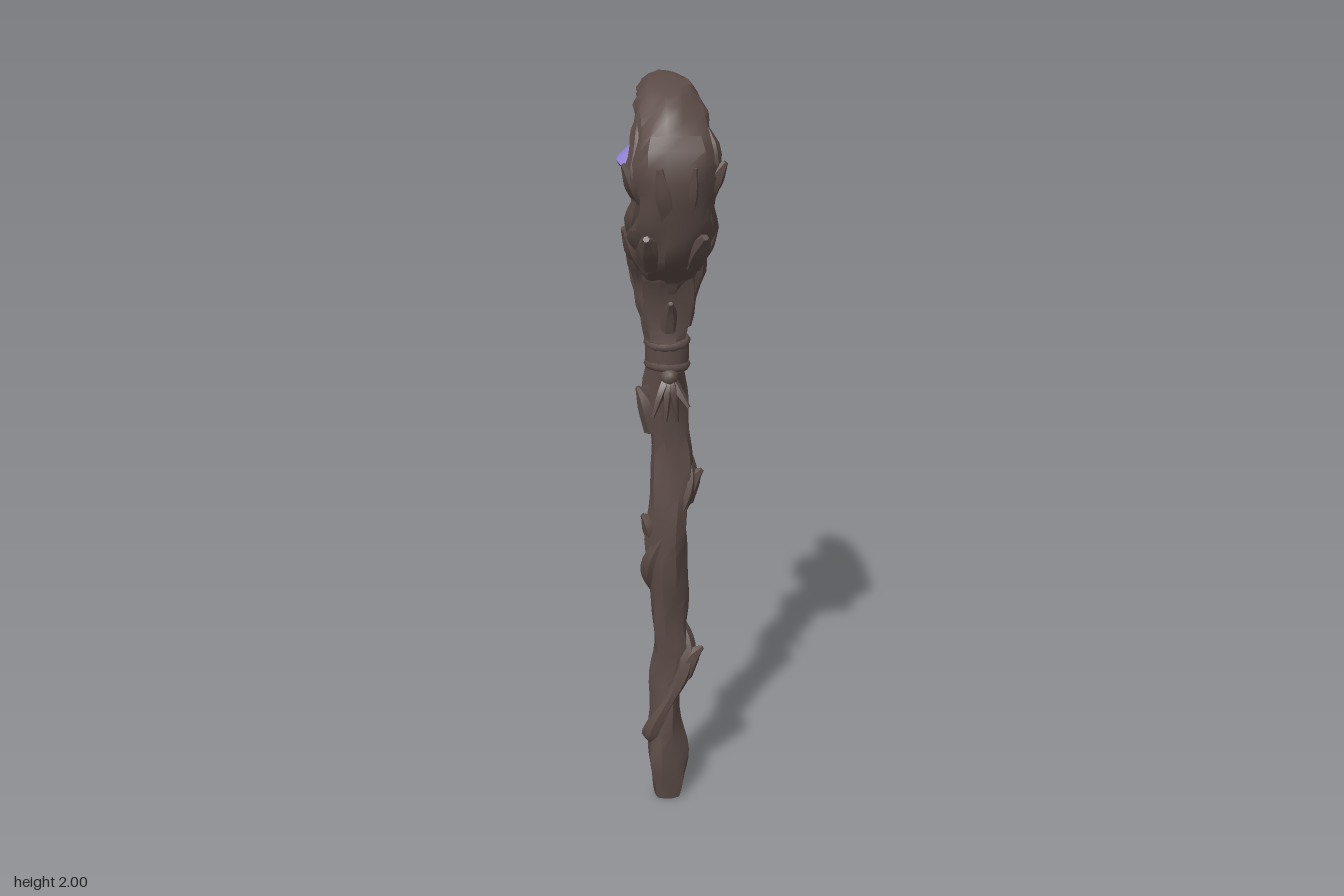
import * as THREE from 'three';
import { toCreasedNormals } from 'three/addons/utils/BufferGeometryUtils.js';

const mat = (name, color, side = THREE.FrontSide) => {
  const m = new THREE.MeshStandardMaterial({ color, side });
  m.name = name;
  return m;
};

// Skin of elliptical rings along a path; each station is [x, y, z, radiusX, radiusDepth].
function loft(stations, sides, steps, shape = () => 1) {
  const path = new THREE.CatmullRomCurve3(stations.map(s => new THREE.Vector3(s[0], s[1], s[2])), false, 'catmullrom', 0.5);
  const size = new THREE.CatmullRomCurve3(stations.map(s => new THREE.Vector3(s[3], s[4] ?? s[3], 0)), false, 'catmullrom', 0.5);
  const pos = [], idx = [];
  for (let i = 0; i <= steps; i++) {
    const t = i / steps, c = path.getPoint(t), r = size.getPoint(t), T = path.getTangent(t);
    const u = new THREE.Vector3(1, 0, 0).addScaledVector(T, -T.x).normalize();
    const v = u.clone().cross(T);
    for (let j = 0; j < sides; j++) {
      const a = j / sides * Math.PI * 2, k = shape(a, t, c);
      const p = c.clone().addScaledVector(u, Math.cos(a) * r.x * k).addScaledVector(v, Math.sin(a) * r.y * k);
      pos.push(p.x, Math.max(0, p.y), p.z);
      if (i < steps) {
        const n = (j + 1) % sides, A = i * sides + j, B = i * sides + n;
        idx.push(A, A + sides, B, B, A + sides, B + sides);
      }
    }
  }
  // end caps
  const a = path.getPoint(0), b = path.getPoint(1), ia = pos.length / 3, last = steps * sides;
  pos.push(a.x, a.y, a.z, b.x, b.y, b.z);
  for (let j = 0; j < sides; j++) {
    const n = (j + 1) % sides;
    idx.push(ia, j, n, ia + 1, last + n, last + j);
  }
  const g = new THREE.BufferGeometry();
  g.setAttribute('position', new THREE.Float32BufferAttribute(pos, 3));
  g.setIndex(idx);
  return toCreasedNormals(g, 0.65);
}

// Give each face a material index chosen from its centre and normal.
function paint(geo, pick) {
  const Q = geo.attributes.position, tri = new THREE.Triangle();
  const c = new THREE.Vector3(), n = new THREE.Vector3();
  for (let i = 0; i < Q.count; i += 3) {
    tri.setFromAttributeAndIndices(Q, i, i + 1, i + 2);
    geo.addGroup(i, 3, pick(tri.getMidpoint(c), tri.getNormal(n)));
  }
  return geo;
}

export function createModel() {
  const model = new THREE.Group();
  model.name = 'mushroomStaff';
  const bark = mat('bark brown', 0x5b4b46);
  const purple = mat('cap purple', 0x9585d8);
  const blue = mat('cap blue', 0x4b8fc2);
  const gill = mat('gill dark teal', 0x1f5f68, THREE.DoubleSide);
  const teal = mat('stem teal', 0x2f8790);
  const mossy = mat('hollow muted teal', 0x31595d);
  const add = (name, geo, m, parent = model) => {
    const mesh = new THREE.Mesh(geo, m);
    mesh.name = name;
    parent.add(mesh);
    return mesh;
  };

  // Gnarled shaft
  const gnarl = (a, t, c) => 1 + 0.1 * Math.sin(3 * a + c.y * 13) + 0.07 * Math.sin(2 * a - c.y * 31 + 1);
  add('shaft', loft([
    [0, 0, 0.005, 0.033, 0.036], [0, 0.05, 0.005, 0.046, 0.04], [0, 0.12, 0.005, 0.057, 0.042],
    [-0.005, 0.23, 0, 0.046, 0.04], [0, 0.35, -0.008, 0.044, 0.039], [0.01, 0.46, -0.006, 0.046, 0.039],
    [0.005, 0.56, -0.005, 0.046, 0.04], [0.002, 0.7, 0.004, 0.055, 0.042], [0, 0.84, 0.012, 0.052, 0.042],
    [0.012, 0.97, -0.002, 0.053, 0.046], [0.005, 1.1, -0.016, 0.052, 0.045], [-0.005, 1.2, -0.012, 0.056, 0.043],
    [0, 1.3, 0.002, 0.05, 0.046], [0, 1.38, 0, 0.056, 0.046], [0, 1.46, 0, 0.068, 0.055], [0, 1.53, 0.005, 0.075, 0.068],
    [0, 1.59, 0.03, 0.07, 0.06]], 10, 52, gnarl), bark);

  // Curled crook, flatter on the inside of the bend, with a teal-tinted hollow
  const crook = loft([
    [0, 1.48, 0, 0.06, 0.05], [0, 1.54, 0.02, 0.076, 0.06], [0, 1.6, 0.07, 0.088, 0.075], [0, 1.66, 0.11, 0.098, 0.07],
    [0, 1.73, 0.14, 0.088, 0.06], [0, 1.81, 0.15, 0.104, 0.057], [0, 1.88, 0.125, 0.084, 0.052],
    [0, 1.93, 0.07, 0.08, 0.048], [0, 1.955, 0, 0.072, 0.041], [0, 1.963, -0.07, 0.056, 0.034],
    [0, 1.95, -0.13, 0.048, 0.028], [0, 1.905, -0.18, 0.032, 0.022], [0, 1.86, -0.197, 0.022, 0.016],
    [0, 1.838, -0.185, 0.014, 0.011]], 14, 36,
    (a, t) => (Math.sin(a) < -0.3 ? 0.75 : 1) * (1 + 0.09 * Math.cos(4 * a) * Math.sin(t * 40) + 0.05 * Math.sin(5 * a + t * 25)));
  add('crook', paint(crook, (c, n) => n.z < -0.25 && c.y > 1.63 && c.y < 1.78 && c.z > 0 ? 1 : 0), [bark, mossy]);

  // Root wound around the shaft
  const vine = [];
  for (let i = 0; i <= 30; i++) {
    const y = 0.16 + i * 0.036, a = (y - 0.45) / 0.52 * Math.PI * 2;
    const r = i === 0 || i === 30 ? 0.008 : 0.023 + 0.008 * Math.cos(a * 2);
    vine.push([0.005 + 0.045 * Math.cos(a), y, -0.002 - 0.034 * Math.sin(a), r, r]);
  }
  add('windingRoot', loft(vine, 6, 60), bark);

  // Broken twigs and knots on the shaft
  [[[0.045, 0.38, 0.01, 0.024], [0.066, 0.44, 0.012, 0.024], [0.096, 0.465, 0.012, 0.006]],
   [[0.045, 0.9, 0, 0.026], [0.066, 0.96, 0, 0.024], [0.092, 0.985, 0, 0.006]],
   [[-0.035, 1.1, 0, 0.024], [-0.052, 1.17, 0, 0.024], [-0.075, 1.22, 0, 0.006]],
   [[-0.03, 0.78, 0, 0.022], [-0.045, 0.84, 0.01, 0.024], [-0.066, 0.87, 0.015, 0.006]],
   [[0, 1.38, 0.035, 0.02], [0, 1.43, 0.052, 0.018], [0, 1.46, 0.078, 0.006]],
   [[0, 1.4, -0.03, 0.025], [0, 1.49, -0.06, 0.028], [0.01, 1.56, -0.1, 0.014]],
  ].forEach(p => add('twig', loft(p, 6, 6), bark));

  // Mirrored roots and knots along the crook
  for (const s of [-1, 1]) {
    add('sideRoot', loft([[s * 0.045, 1.38, 0, 0.014], [s * 0.062, 1.48, 0, 0.022], [s * 0.075, 1.57, 0.03, 0.024],
      [s * 0.085, 1.66, 0.085, 0.025], [s * 0.08, 1.74, 0.125, 0.022], [s * 0.092, 1.81, 0.14, 0.024],
      [s * 0.075, 1.88, 0.11, 0.02], [s * 0.066, 1.925, 0.05, 0.018], [s * 0.058, 1.94, -0.02, 0.016],
      [s * 0.045, 1.94, -0.1, 0.012], [s * 0.025, 1.9, -0.165, 0.006]], 6, 34,
      (a, t) => 1 + 0.22 * Math.sin(t * 46 + s)), bark);
    [[[0.06, 1.55, 0.03, 0.026], [0.082, 1.6, 0.05, 0.03], [0.112, 1.65, 0.065, 0.008]],
     [[0.07, 1.74, 0.12, 0.03], [0.092, 1.78, 0.14, 0.028], [0.12, 1.82, 0.15, 0.006]],
     [[0.05, 1.57, 0.1, 0.03], [0.06, 1.62, 0.14, 0.03], [0.07, 1.65, 0.18, 0.008]],
     [[0.02, 1.7, 0.16, 0.03], [0.03, 1.76, 0.182, 0.028], [0.04, 1.82, 0.2, 0.008]],
     [[0.05, 1.45, 0, 0.022], [0.07, 1.5, -0.01, 0.02], [0.09, 1.545, -0.02, 0.006]],
    ].forEach(p => add('crookKnot', loft(p.map(q => [s * q[0], ...q.slice(1)]), 6, 6), bark));
  }

  // Cord binding: a snug sleeve with raised edges, a knot and loose ends
  const binding = new THREE.Group();
  binding.name = 'binding';
  model.add(binding);
  add('sleeve', loft([[0, 1.27, 0.003, 0.054, 0.052], [0, 1.31, 0.003, 0.056, 0.054], [0, 1.35, 0.003, 0.056, 0.054]], 12, 4), bark, binding);
  [1.282, 1.342].forEach((y, i) => {
    const ring = add('cordLoop', new THREE.TorusGeometry(0.049, 0.011, 6, 14), bark, binding);
    ring.rotation.set(Math.PI / 2 + (i - 0.5) * 0.12, (i - 0.5) * 0.1, 0);
    ring.position.set(0, y, 0.003);
  });
  const knot = add('knot', new THREE.IcosahedronGeometry(0.024, 1), bark, binding);
  knot.position.set(0, 1.262, 0.05);
  [[-0.045, 1.165, 0.075], [0.02, 1.14, 0.05], [-0.012, 1.15, 0.07], [0.045, 1.19, 0.085]].forEach(([x, y, z]) =>
    add('cordEnd', loft([[0, 1.265, 0.045, 0.013], [x * 0.5, 1.225, 0.066, 0.012], [x, y, z, 0.005]], 5, 6), bark, binding));

  // Mushrooms: lathed caps with a blue flank, dark gills, teal stems fading into muted roots
  const mushroom = (name, [x, y, z], r, h, tilt, stem, root) => {
    const g = new THREE.Group();
    g.name = name;
    model.add(g);
    const profile = [[0.12, 0.2], [0.6, 0.14], [0.97, -0.02], [1, 0.06], [0.8, 0.3], [0.55, 0.58], [0.4, 0.84], [0.22, 0.97], [0, 1]];
    const lathe = new THREE.LatheGeometry(profile.map(p => new THREE.Vector2(p[0] * r, p[1] * h)), 16);
    const P = lathe.attributes.position;
    for (let i = 0; i < P.count; i++) {
      const px = P.getX(i), pz = P.getZ(i), a = Math.atan2(pz, px), q = Math.hypot(px, pz) / r;
      const k = 1 + 0.03 * q * Math.sin(3 * a + 1);
      P.setXYZ(i, px * k, P.getY(i) + 0.06 * h * q * Math.sin(2 * a), pz * k);
    }
    const geo = paint(toCreasedNormals(lathe, 0.7), (c, n) =>
      n.y < -0.1 ? 2 : c.x * 0.55 + c.z * 0.83 > 0.46 * r ? 1 : 0);
    const cap = add('cap', geo, [purple, blue, gill], g);
    cap.position.set(x, y, z);
    cap.rotation.x = tilt;
    add('stem', loft(stem, 7, 10), teal, g);
    add('stemRoot', loft(root, 7, 8), mossy, g);
  };
  mushroom('largeMushroom', [0, 1.79, -0.018], 0.124, 0.095, -0.04,
    [[0, 1.815, -0.015, 0.026], [0, 1.775, -0.014, 0.021], [0, 1.74, -0.01, 0.02], [0, 1.715, -0.003, 0.02]],
    [[0, 1.722, -0.005, 0.021], [0, 1.67, 0.022, 0.023], [0, 1.6, 0.055, 0.035]]);
  mushroom('middleMushroom', [0, 1.695, -0.077], 0.06, 0.058, -0.12,
    [[0, 1.71, -0.077, 0.014], [0, 1.68, -0.07, 0.013], [0, 1.66, -0.058, 0.015]],
    [[0, 1.664, -0.061, 0.015], [0, 1.63, -0.032, 0.019], [0, 1.56, 0.01, 0.03]]);
  mushroom('smallMushroom', [0, 1.602, -0.12], 0.056, 0.054, -0.2,
    [[0, 1.62, -0.12, 0.014], [0, 1.59, -0.111, 0.013], [0, 1.572, -0.095, 0.015]],
    [[0, 1.576, -0.099, 0.016], [0, 1.557, -0.07, 0.022], [0, 1.53, -0.03, 0.033]]);

  // Stubby sprouts in the hollow of the crook
  [[[0.02, 1.66, 0.11, 0.026], [0.015, 1.705, 0.085, 0.022], [0.015, 1.735, 0.08, 0.01]],
   [[-0.03, 1.64, 0.08, 0.022], [-0.035, 1.675, 0.064, 0.018], [-0.035, 1.7, 0.06, 0.008]],
  ].forEach(p => add('sprout', loft(p, 6, 6), mossy));

  return model;
}
